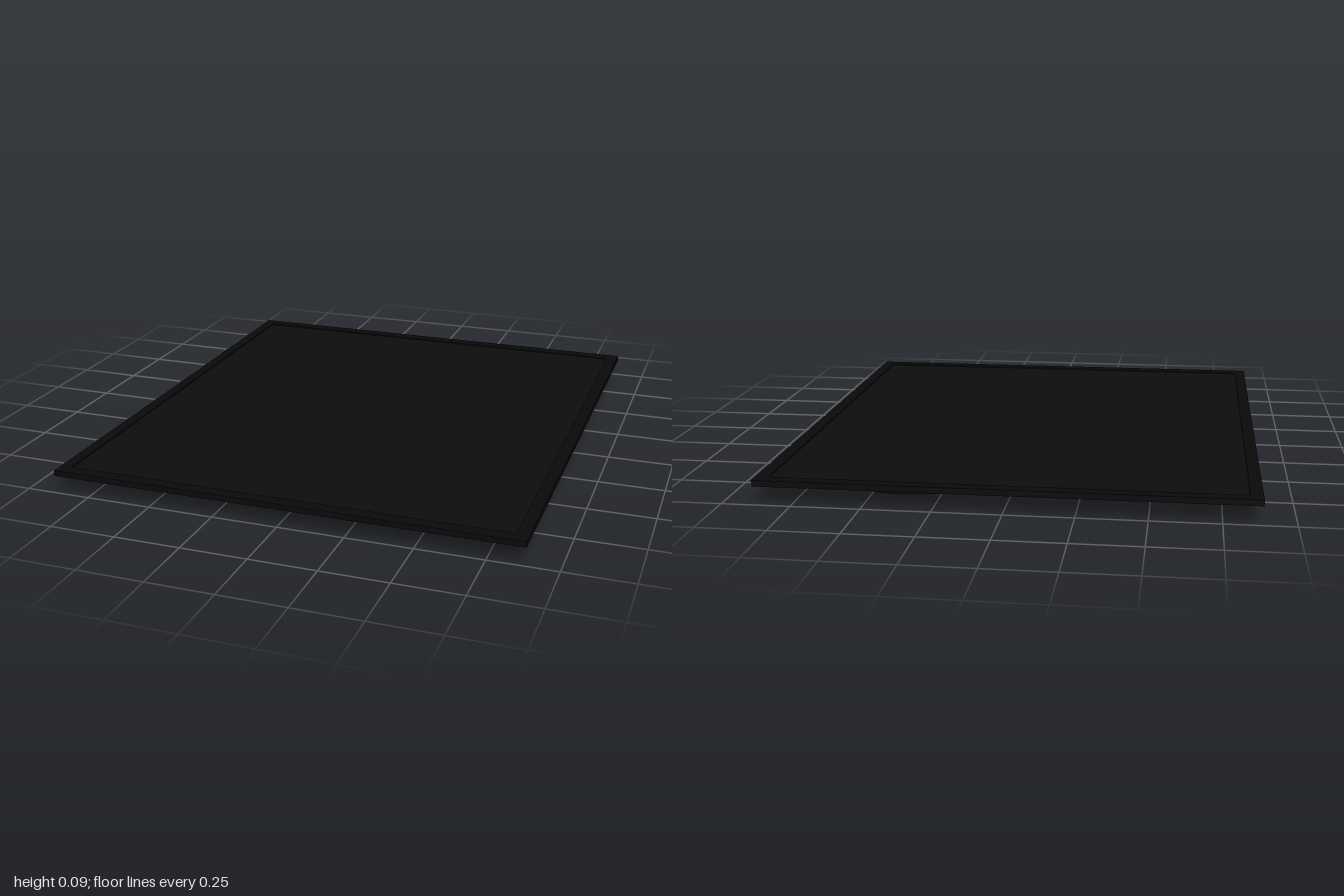
import * as THREE from 'three';

const W = 0.885, D = 1.0;            // half width and half depth of the plate
const BOTTOM = 0.068, TOP = 0.09;    // plate underside and rim height

function rect(PathType, w, d) {
  const p = new PathType();
  p.moveTo(-w, -d);
  p.lineTo(w, -d);
  p.lineTo(w, d);
  p.lineTo(-w, d);
  p.closePath();
  return p;
}

export function createModel() {
  const group = new THREE.Group();
  const glass = new THREE.MeshStandardMaterial({ color: 0x0d0d0d });
  const dark = new THREE.MeshStandardMaterial({ color: 0x0a0a0a });

  function add(name, geometry, material, x, y, z) {
    const mesh = new THREE.Mesh(geometry, material);
    mesh.name = name;
    mesh.position.set(x, y, z);
    group.add(mesh);
    return mesh;
  }

  // Narrow rim around the cooking surface
  const rimShape = rect(THREE.Shape, W, D);
  rimShape.holes.push(rect(THREE.Path, 0.84, 0.95));
  const rimGeometry = new THREE.ExtrudeGeometry(rimShape, { depth: TOP - BOTTOM, bevelEnabled: false });
  rimGeometry.rotateX(-Math.PI / 2);
  add('rim', rimGeometry, dark, 0, BOTTOM, 0);

  // Cooking surface, set slightly below the rim
  const panelHeight = TOP - BOTTOM - 0.005;
  add('cookingSurface', new THREE.BoxGeometry(1.68, panelHeight, 1.9), glass, 0, BOTTOM + panelHeight / 2, 0);

  // Heating elements underneath: large and small on opposite diagonals
  for (const sx of [-1, 1]) {
    for (const sz of [-1, 1]) {
      const large = sx * sz < 0;
      const r = large ? 0.303 : 0.23;
      const name = (large ? 'large' : 'small') + 'HeatingElement';
      add(name, new THREE.CylinderGeometry(r, r, BOTTOM, 48), dark, sx * 0.392, BOTTOM / 2, sz * 0.518);
    }
  }
  return group;
}
